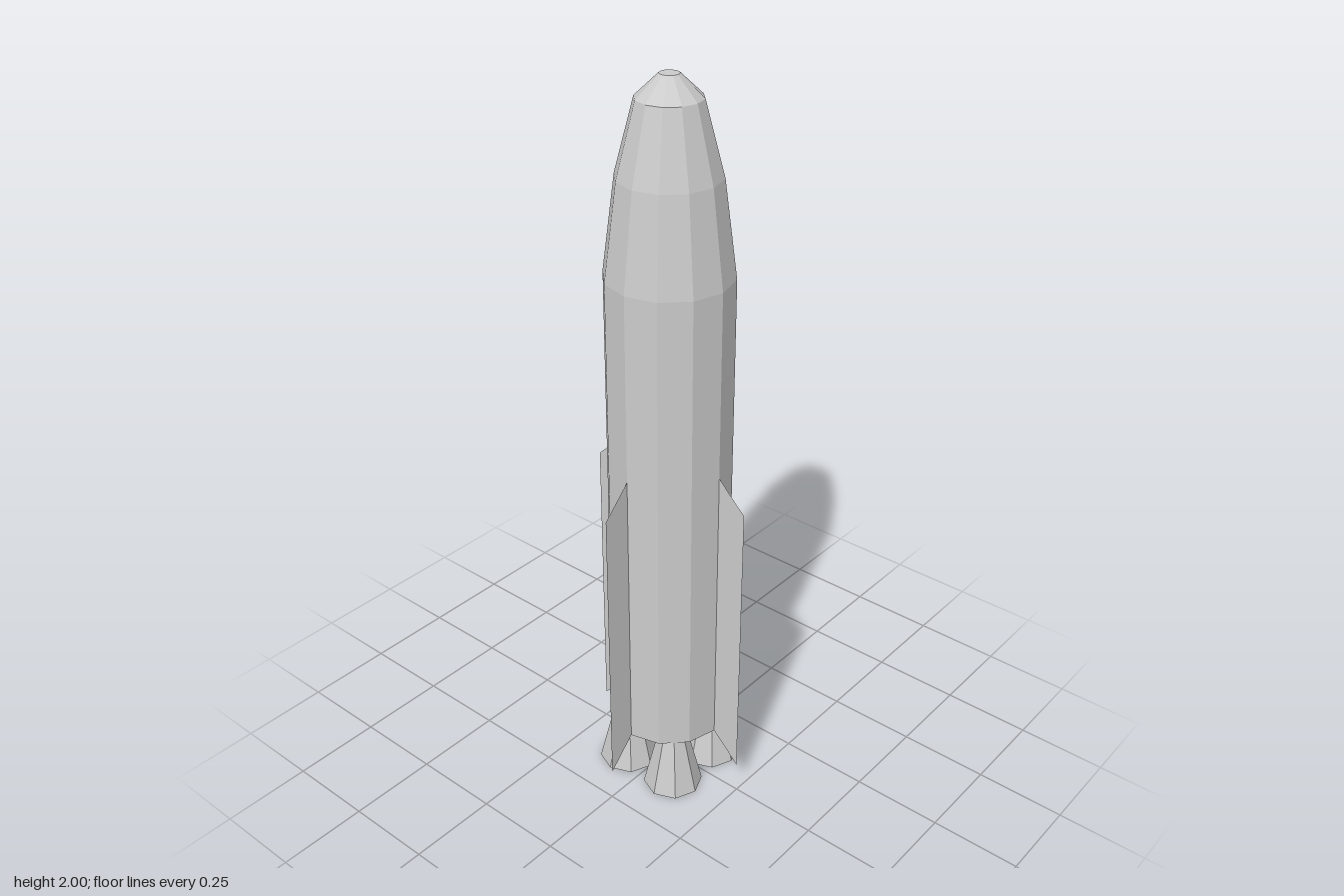
import * as THREE from 'three';

const grey = new THREE.MeshStandardMaterial({ color: 0xcccccc, flatShading: true });
const thin = new THREE.MeshStandardMaterial({ color: 0xcccccc, flatShading: true, side: THREE.DoubleSide });

const R = 0.165;       // body radius
const BASE = 0.17;     // height of the body's underside
const NOZZLE = 0.083;  // nozzle offset and mouth radius

function addMesh(parent, name, geometry, material = grey) {
  const mesh = new THREE.Mesh(geometry, material);
  mesh.name = name;
  parent.add(mesh);
  return mesh;
}

export function createModel() {
  const rocket = new THREE.Group();
  rocket.name = 'rocket';

  // Twelve-sided body with closed base and stepped nose
  const profile = [
    [0, BASE], [R, BASE], [R, 1.51], [0.132, 1.76], [0.083, 1.945], [0.025, 2], [0, 2],
  ].map(([r, y]) => new THREE.Vector2(r, y));
  addMesh(rocket, 'body', new THREE.LatheGeometry(profile, 12));

  // Four thin swept fins, one on each axis
  const finShape = new THREE.Shape([
    new THREE.Vector2(R, BASE),
    new THREE.Vector2(0.247, 0.09),
    new THREE.Vector2(0.247, 0.92),
    new THREE.Vector2(R, 1),
  ]);
  const finGeometry = new THREE.ShapeGeometry(finShape);
  for (let i = 0; i < 4; i++) {
    addMesh(rocket, `fin${i + 1}`, finGeometry, thin).rotation.y = i * Math.PI / 2;
  }

  // Four eight-sided engine nozzles
  const nozzleGeometry = new THREE.CylinderGeometry(0.042, NOZZLE, BASE, 8);
  for (const x of [-1, 1]) {
    for (const z of [-1, 1]) {
      const side = (z > 0 ? 'front' : 'back') + (x > 0 ? 'Left' : 'Right');
      addMesh(rocket, `${side}Nozzle`, nozzleGeometry).position.set(x * NOZZLE, BASE / 2, z * NOZZLE);
    }
  }

  return rocket;
}
